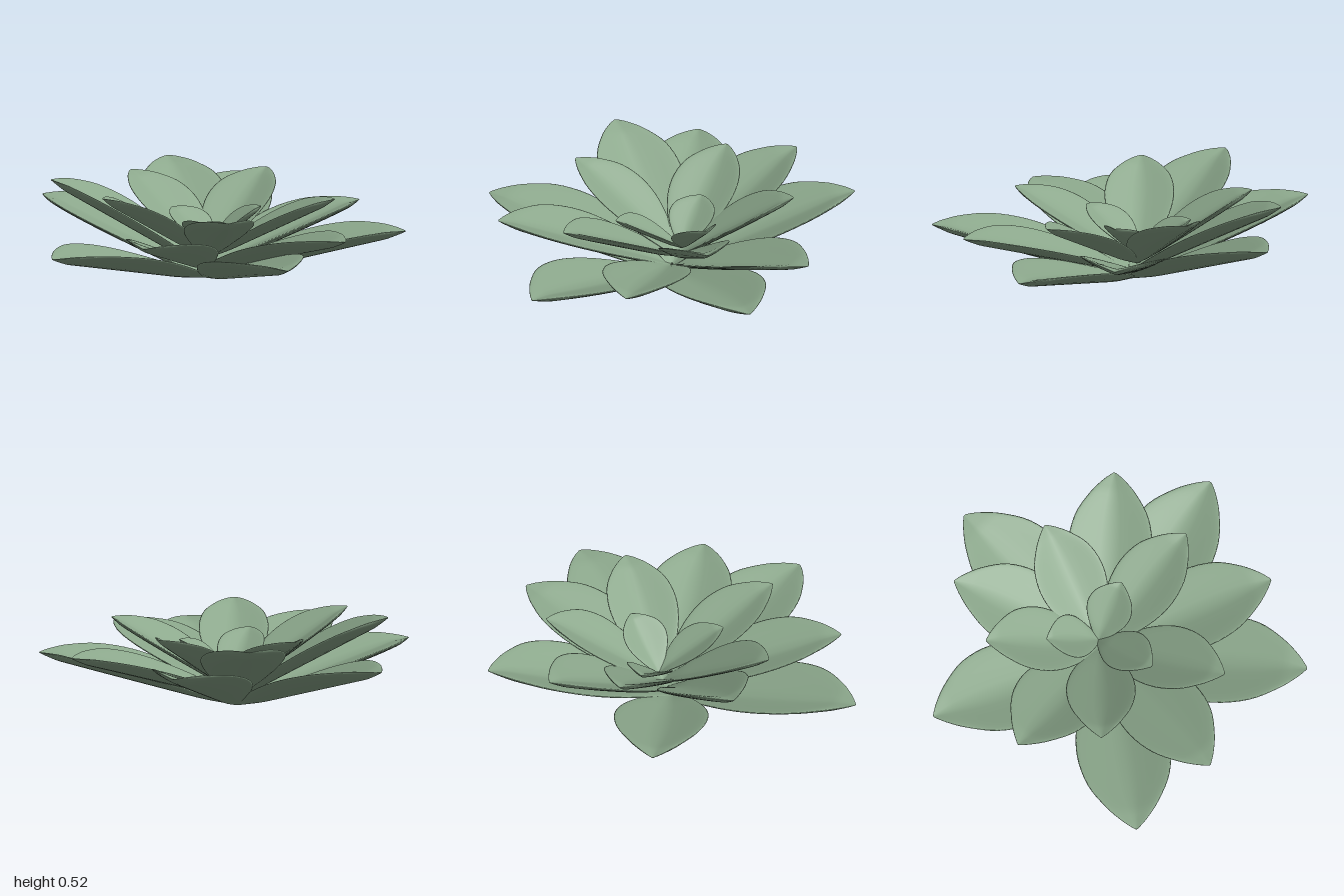
import * as THREE from 'three';

const ROWS = 28, SIDES = 28;
const material = new THREE.MeshStandardMaterial({ color: 0x8ca88c });

// Half-width of a leaf along its length: narrow foot, broad shoulder, pointed tip
const outline = new THREE.SplineCurve([
  [0, 0.12], [0.2, 0.56], [0.4, 0.89], [0.58, 1], [0.75, 0.88], [0.88, 0.56], [0.96, 0.25], [1, 0.03],
].map(([t, w]) => new THREE.Vector2(t, w)));

// One closed, keeled leaf running from its foot to its tip
function leafGeometry(foot, tip, halfWidth, thickness, lift) {
  const along = tip.clone().sub(foot);
  const length = along.length();
  along.normalize();
  const side = new THREE.Vector3(0, 1, 0).cross(along).normalize();
  const normal = along.clone().cross(side);
  const positions = [], index = [];

  for (let i = 0; i <= ROWS; i++) {
    const p = outline.getPoint(i / ROWS);
    const w = p.y * halfWidth;
    const h = thickness * Math.min(1, p.y * 2);
    for (let j = 0; j < SIDES; j++) {
      const a = (j / SIDES) * Math.PI * 2;
      const v = Math.cos(a);
      // shallow V section with raised, rounded edges
      const y = lift * w * Math.pow(Math.abs(v), 1.25) + h * Math.sin(a);
      positions.push(v * w, y, p.x * length);
      if (i < ROWS) {
        const k = (j + 1) % SIDES, r = i * SIDES, s = r + SIDES;
        index.push(r + j, r + k, s + j, r + k, s + k, s + j);
      }
    }
  }
  // close both ends
  const last = ROWS * SIDES;
  for (let j = 1; j < SIDES - 1; j++) {
    index.push(0, j + 1, j, last, last + j, last + j + 1);
  }

  const geometry = new THREE.BufferGeometry();
  geometry.setAttribute('position', new THREE.Float32BufferAttribute(positions, 3));
  geometry.setIndex(index);
  geometry.applyMatrix4(new THREE.Matrix4().makeBasis(side, normal, along).setPosition(foot));
  geometry.computeVertexNormals();
  return geometry;
}

// Whorls from the ground up, each with its leaf tips
const whorls = [
  {
    name: 'outerLeaf', foot: [-0.02, 0.005, 0.05], halfWidth: 0.25, thickness: 0.018, lift: 0.33,
    tips: [[-1, 0.34, -0.24], [1, 0.25, -0.25], [-0.12, 0.37, -0.96], [-0.61, 0.24, 0.93], [0.67, 0.24, 0.87]],
  },
  {
    name: 'middleLeaf', foot: [-0.02, 0.05, 0.03], halfWidth: 0.225, thickness: 0.016, lift: 0.33,
    tips: [[-0.1, 0.33, 0.95], [0.85, 0.31, 0.39], [0.64, 0.33, -0.61], [-0.44, 0.49, -0.69], [-0.82, 0.52, 0.23]],
  },
  {
    name: 'innerLeaf', foot: [-0.02, 0.1, 0], halfWidth: 0.185, thickness: 0.014, lift: 0.33,
    tips: [[-0.54, 0.48, -0.33], [0.13, 0.48, -0.6], [0.66, 0.44, -0.07], [0.28, 0.43, 0.65], [-0.46, 0.49, 0.49]],
  },
  {
    name: 'heartLeaf', foot: [-0.015, 0.15, -0.02], halfWidth: 0.125, thickness: 0.011, lift: 0.35,
    tips: [[-0.26, 0.33, -0.16], [0.24, 0.37, -0.12], [0.04, 0.36, 0.34]],
  },
];

export function createModel() {
  const model = new THREE.Group();
  model.name = 'rosettePlant';
  for (const { name, foot, halfWidth, thickness, lift, tips } of whorls) {
    const whorl = new THREE.Group();
    whorl.name = name + 'Whorl';
    tips.forEach((tip, i) => {
      const geometry = leafGeometry(new THREE.Vector3(...foot), new THREE.Vector3(...tip), halfWidth, thickness, lift);
      const leaf = new THREE.Mesh(geometry, material);
      leaf.name = name + (i + 1);
      whorl.add(leaf);
    });
    model.add(whorl);
  }
  return model;
}
